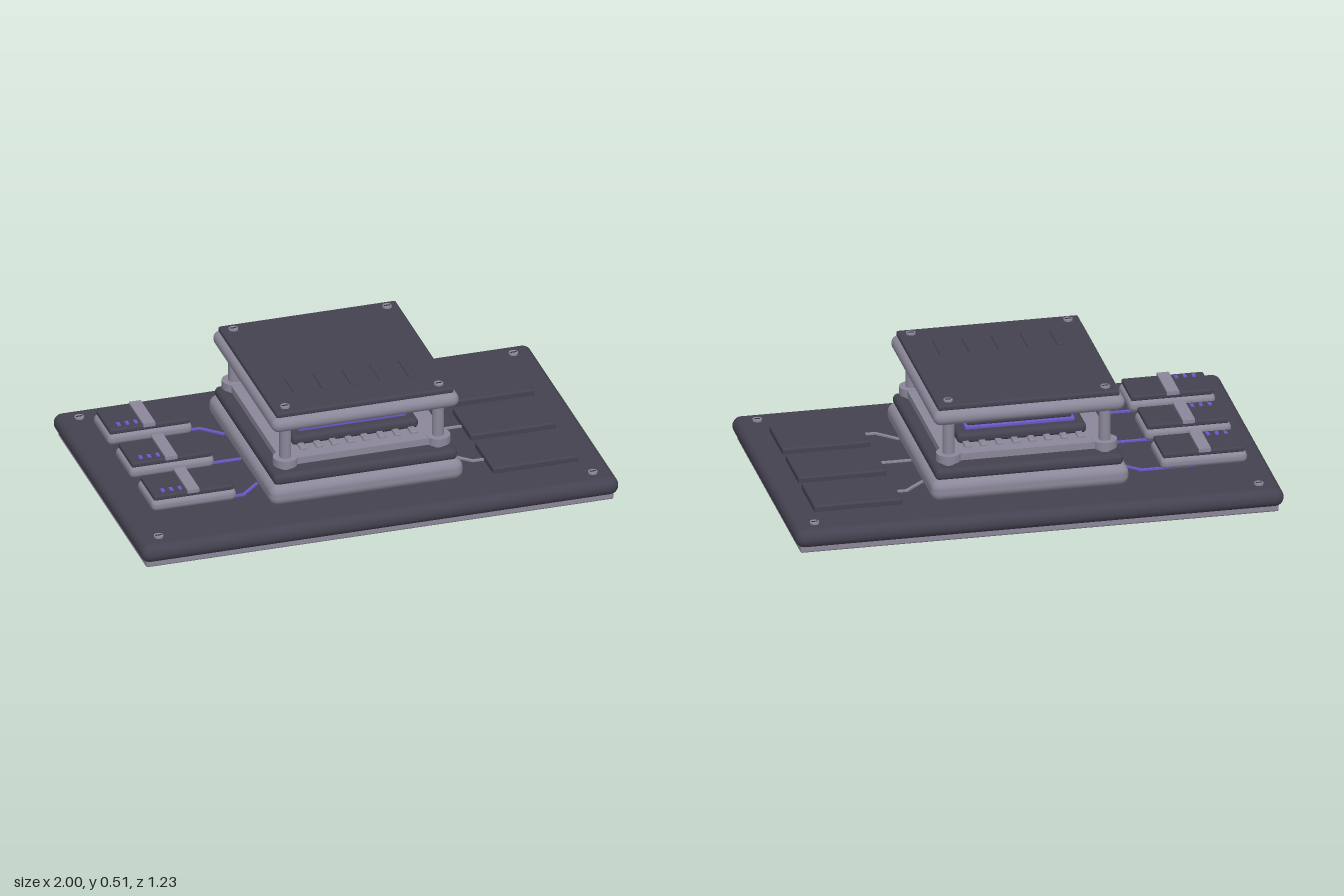
import * as THREE from 'three';
import { RoundedBoxGeometry } from 'three/addons/geometries/RoundedBoxGeometry.js';

const mat = (name, color) => new THREE.MeshStandardMaterial({ name, color });

export function createModel() {
  const dark = mat('charcoal', 0x444250);
  const light = mat('greyMetal', 0x8b8799);
  const violet = mat('violet', 0x6c58c8);
  const black = mat('slotBlack', 0x302e39);
  const model = new THREE.Group();
  model.name = 'processorBoard';

  const add = (parent, name, geometry, material, x, y, z) => {
    const mesh = new THREE.Mesh(geometry, material);
    mesh.name = name;
    mesh.position.set(x, y, z);
    parent.add(mesh);
    return mesh;
  };
  // Rounded slab given by its size, bottom and top heights, edge radius and centre
  const slab = (parent, name, material, w, d, y0, y1, r, x = 0, z = 0) =>
    add(parent, name, new RoundedBoxGeometry(w, y1 - y0, d, 4, r), material, x, (y0 + y1) / 2, z);
  const box = (parent, name, material, w, d, y0, y1, x = 0, z = 0) =>
    add(parent, name, new THREE.BoxGeometry(w, y1 - y0, d), material, x, (y0 + y1) / 2, z);
  const rod = (parent, name, material, r, y0, y1, x, z) =>
    add(parent, name, new THREE.CylinderGeometry(r, r, y1 - y0, 20), material, x, (y0 + y1) / 2, z);

  // Flat strip following a list of [x, z] points
  const trace = (name, material, points) => {
    const group = new THREE.Group();
    group.name = name;
    for (let i = 0; i < points.length - 1; i++) {
      const [ax, az] = points[i], [bx, bz] = points[i + 1];
      const strip = box(group, 'traceSegment', material, Math.hypot(bx - ax, bz - az) + 0.006, 0.012,
        0.098, 0.107, (ax + bx) / 2, (az + bz) / 2);
      strip.rotation.y = -Math.atan2(bz - az, bx - ax);
    }
    model.add(group);
  };

  // Slotted screw head
  const screw = (x, y, z) => {
    const group = new THREE.Group();
    group.name = 'screw';
    rod(group, 'screwHead', light, 0.019, y - 0.005, y + 0.008, x, z);
    box(group, 'screwSlot', black, 0.026, 0.006, y + 0.006, y + 0.0095, x, z);
    model.add(group);
  };
  const corners = (x, z, fn) => {
    for (const sx of [-1, 1]) for (const sz of [-1, 1]) fn(sx * x, sz * z);
  };

  // Base board and pedestal
  slab(model, 'basePlate', light, 1.96, 1.18, 0, 0.035, 0.008);
  slab(model, 'board', dark, 2, 1.23, 0.024, 0.1, 0.037);
  slab(model, 'pedestal', light, 0.81, 0.86, 0.095, 0.185, 0.037);
  slab(model, 'pedestalTop', dark, 0.77, 0.815, 0.178, 0.226, 0.021);
  corners(0.91, 0.53, (x, z) => screw(x, 0.1, z));

  // Socket plate, posts and collars
  box(model, 'socketPlate', light, 0.69, 0.73, 0.245, 0.274);
  corners(0.32, 0.342, (x, z) => {
    rod(model, 'post', light, 0.024, 0.22, 0.43, x, z);
    rod(model, 'collar', light, 0.05, 0.243, 0.276, x, z);
  });

  // Chip with pins along its front and back
  slab(model, 'chipBody', dark, 0.53, 0.53, 0.27, 0.313, 0.018);
  slab(model, 'chipGlow', violet, 0.45, 0.445, 0.311, 0.327, 0.004);
  slab(model, 'chipCap', dark, 0.43, 0.43, 0.325, 0.35, 0.009);
  for (const side of [-1, 1])
    for (let i = 0; i < 8; i++)
      slab(model, 'pin', light, 0.028, 0.06, 0.266, 0.284, 0.006, -0.231 + i * 0.066, side * 0.28);

  // Raised lid with slots
  slab(model, 'lid', light, 0.785, 0.83, 0.417, 0.48, 0.031);
  slab(model, 'lidTop', dark, 0.745, 0.785, 0.477, 0.501, 0.009);
  for (let i = -2; i <= 2; i++)
    slab(model, 'lidSlot', dark, 0.03, 0.14, 0.495, 0.507, 0.004, i * 0.12, 0.18);
  corners(0.322, 0.345, (x, z) => screw(x, 0.5, z));

  for (const row of [-1, 0, 1]) {
    const z = row * 0.295;

    // Floating module on the model's right
    const unit = new THREE.Group();
    unit.name = 'module';
    model.add(unit);
    slab(unit, 'moduleBase', light, 0.355, 0.21, 0.138, 0.188, 0.022, -0.717, z);
    slab(unit, 'moduleTop', dark, 0.335, 0.19, 0.184, 0.207, 0.008, -0.717, z);
    box(unit, 'moduleBand', light, 0.05, 0.198, 0.2, 0.216, -0.72, z);
    for (let i = 0; i < 3; i++)
      box(unit, 'moduleLight', violet, 0.014, 0.026, 0.204, 0.212, -0.838 + i * 0.036, z + 0.058);

    // Pad on the model's left
    slab(model, 'pad', dark, 0.36, 0.248, 0.095, 0.125, 0.008, 0.706, z);

    // Traces from the pedestal to the module and pad
    const path = s => row === 0
      ? [[s * 0.4, 0], [s * (s < 0 ? 0.7 : 0.54), 0]]
      : [[s * 0.4, row * 0.22], [s * 0.48, row * 0.295], [s * (s < 0 ? 0.7 : 0.54), row * 0.295]];
    trace('moduleTrace', violet, path(-1));
    trace('padTrace', light, path(1));
  }
  return model;
}
